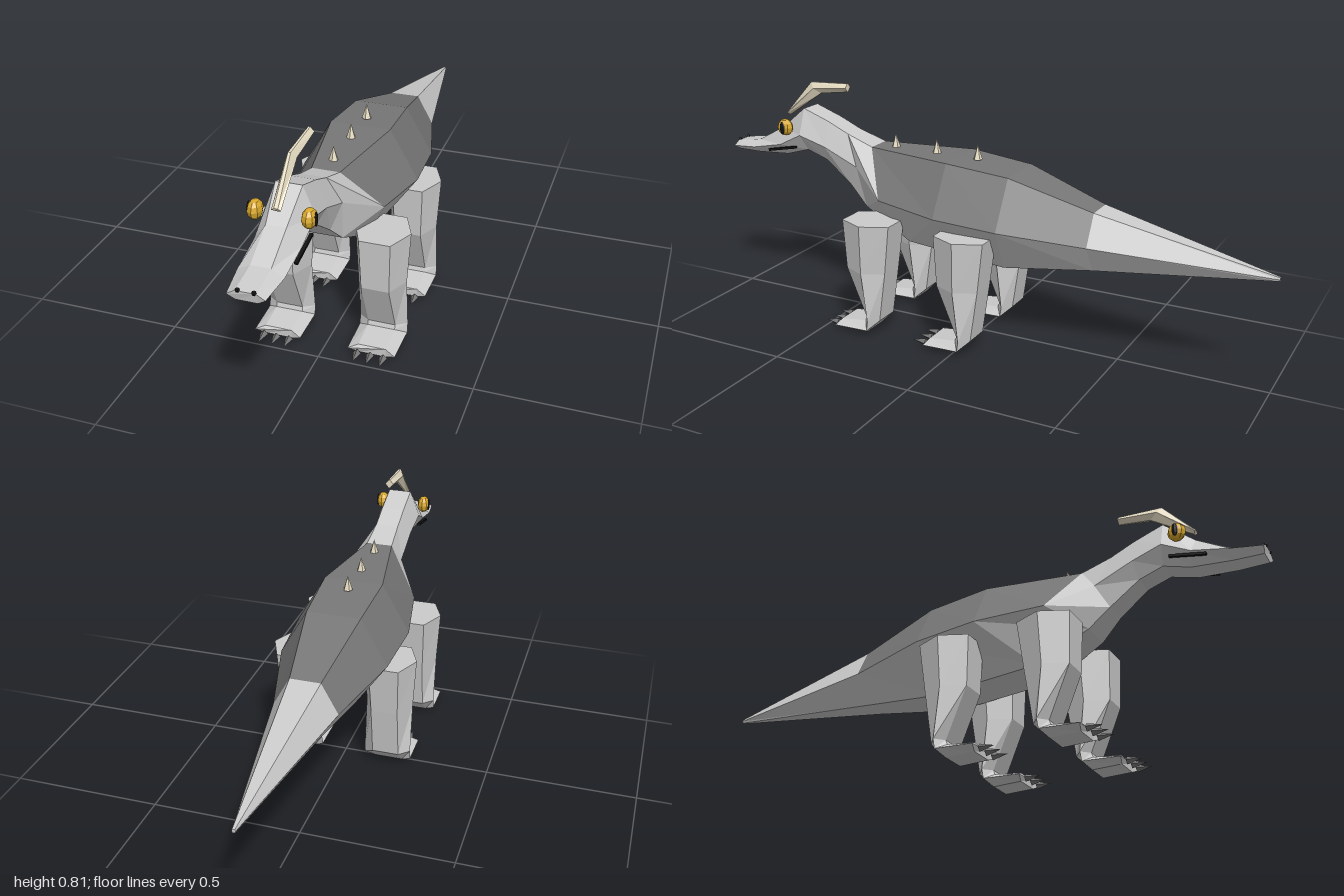
import * as THREE from 'three';

const mat = (color) => new THREE.MeshStandardMaterial({ color, flatShading: true });

// Loft of six-sided rings. Ring: [zTop, yTop, wTop, zMid, yMid, wMid, zBottom, yBottom, wBottom]
function loft(rings, { capStart = true, capEnd = true, keep = () => true } = {}) {
  const pts = rings.map((r) => {
    const side = [0, 3, 6].map((k) => [r[k + 2], r[k + 1], r[k]]);
    return [...side, ...side.map(([x, y, z]) => [-x, y, z]).reverse()];
  });
  const pos = [];
  const tri = (a, b, c) => pos.push(...a, ...b, ...c);
  for (let i = 0; i < pts.length - 1; i++) {
    for (let j = 0; j < 6; j++) {
      if (!keep(i, j)) continue;
      const k = (j + 1) % 6;
      tri(pts[i][j], pts[i][k], pts[i + 1][k]);
      tri(pts[i][j], pts[i + 1][k], pts[i + 1][j]);
    }
  }
  const last = pts[pts.length - 1];
  for (let j = 1; j < 5; j++) {
    if (capStart) tri(pts[0][0], pts[0][j + 1], pts[0][j]);
    if (capEnd) tri(last[0], last[j], last[j + 1]);
  }
  const g = new THREE.BufferGeometry();
  g.setAttribute('position', new THREE.Float32BufferAttribute(pos, 3));
  g.computeVertexNormals();
  return g;
}

// Nose to tail tip
const BODY = [
  [0.99, 0.565, 0.03, 0.99, 0.55, 0.055, 0.985, 0.534, 0.032],
  [0.89, 0.58, 0.03, 0.89, 0.56, 0.068, 0.89, 0.535, 0.035],
  [0.78, 0.64, 0.03, 0.77, 0.585, 0.07, 0.76, 0.545, 0.038],
  [0.68, 0.72, 0.04, 0.68, 0.63, 0.075, 0.67, 0.572, 0.04],
  [0.58, 0.685, 0.04, 0.58, 0.6, 0.07, 0.59, 0.545, 0.04],
  [0.5, 0.65, 0.04, 0.45, 0.545, 0.07, 0.49, 0.47, 0.045],
  [0.4, 0.617, 0.045, 0.31, 0.47, 0.155, 0.42, 0.405, 0.058],
  [0.08, 0.616, 0.1, 0.08, 0.452, 0.194, 0.24, 0.312, 0.075],
  [-0.14, 0.595, 0.09, -0.14, 0.437, 0.18, -0.12, 0.281, 0.075],
  [-0.42, 0.51, 0.05, -0.42, 0.41, 0.105, -0.42, 0.315, 0.045],
  [-1, 0.386, 0.004, -1, 0.38, 0.006, -1, 0.374, 0.004],
];
// Dark plates cover the upper three sides between shoulder and tail base
const isPlate = (i, j) => i >= 6 && i <= 8 && (j === 0 || j >= 4);

// Toe to hip, the "top" of each ring being the front of the leg
const LEG = [
  [0.44, 0.035, 0.045, 0.45, 0.02, 0.078, 0.44, 0.006, 0.045],
  [0.345, 0.045, 0.045, 0.32, 0.025, 0.08, 0.34, 0.003, 0.045],
  [0.34, 0.06, 0.045, 0.315, 0.058, 0.08, 0.288, 0.055, 0.045],
  [0.412, 0.23, 0.045, 0.335, 0.23, 0.08, 0.262, 0.23, 0.045],
  [0.42, 0.403, 0.05, 0.33, 0.403, 0.09, 0.24, 0.403, 0.05],
];

const HORN = [
  [0.776, 0.692, 0.006, 0.775, 0.686, 0.014, 0.768, 0.68, 0.003],
  [0.67, 0.808, 0.004, 0.655, 0.788, 0.016, 0.63, 0.772, 0.004],
  [0.52, 0.816, 0.003, 0.52, 0.802, 0.015, 0.52, 0.787, 0.003],
];

export function createModel() {
  const model = new THREE.Group();
  const hide = mat(0xcccccc);
  const plate = mat(0x777777);
  const bone = mat(0xe6dcc3);
  const claw = mat(0x777777);
  const gold = mat(0xd9a92c);
  const black = mat(0x111111);

  const add = (name, geo, material, parent = model, x = 0, y = 0, z = 0) => {
    const m = new THREE.Mesh(geo, material);
    m.name = name;
    m.position.set(x, y, z);
    parent.add(m);
    return m;
  };

  // Body and dark back
  add('body', loft(BODY, { keep: (i, j) => !isPlate(i, j) }), hide);
  add('backPlates', loft(BODY, { keep: isPlate, capStart: false, capEnd: false }), plate);

  // Horn and back spikes
  add('horn', loft(HORN), bone);
  const spike = new THREE.ConeGeometry(0.016, 0.05, 5);
  [0.33, 0.17, 0.015].forEach((z) => add('backSpike', spike, bone, model, 0, 0.639, z));

  // Legs with three claws each
  const legGeo = loft(LEG);
  const clawGeo = new THREE.ConeGeometry(0.013, 0.05, 4).rotateX(Math.PI / 2);
  for (const s of [1, -1]) {
    for (const [name, z] of [['frontLeg', 0], ['hindLeg', -0.35]]) {
      const leg = new THREE.Group();
      leg.name = (s > 0 ? 'left ' : 'right ') + name;
      leg.position.set(s * 0.158, 0, z);
      model.add(leg);
      add('leg', legGeo, hide, leg);
      [-0.043, 0, 0.043].forEach((x) => add('claw', clawGeo, claw, leg, x, 0.015, 0.482));
    }

    // Face details
    const eye = add('eye', new THREE.SphereGeometry(0.03, 8, 6), gold, model, s * 0.079, 0.655, 0.735);
    eye.scale.x = 0.75;
    const pupil = add('pupil', new THREE.SphereGeometry(0.023, 8, 6), black, model, s * 0.098, 0.655, 0.735);
    pupil.scale.set(0.18, 1, 0.45);
    add('nostril', new THREE.SphereGeometry(0.007, 6, 4), black, model, s * 0.023, 0.566, 0.988);
    const mouth = add('mouth', new THREE.BoxGeometry(0.01, 0.008, 0.12), black, model, s * 0.07, 0.572, 0.76);
    mouth.rotation.x = 0.2;
  }
  return model;
}
